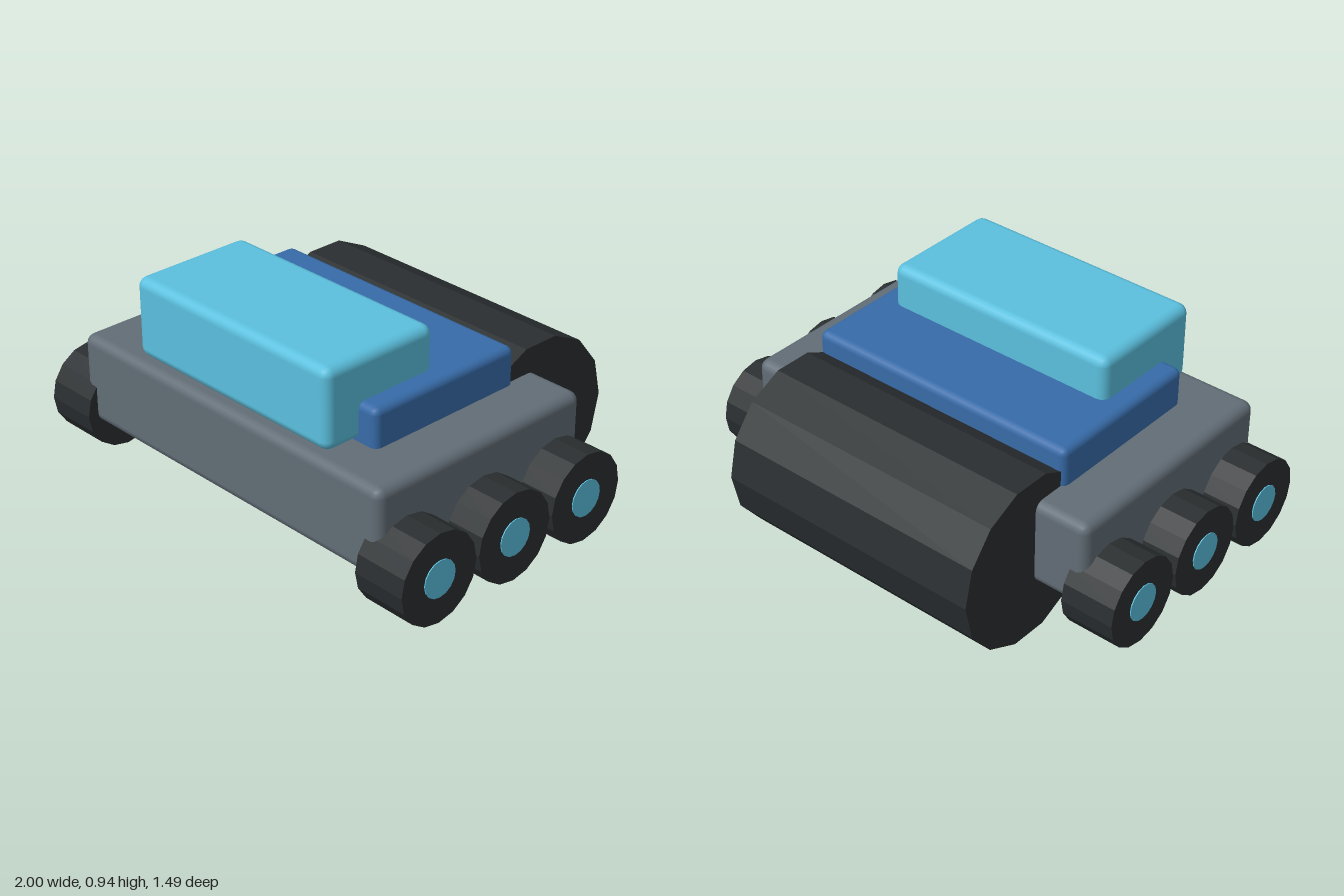
import * as THREE from 'three';
import { RoundedBoxGeometry } from 'three/addons/geometries/RoundedBoxGeometry.js';

const paint = (color, flatShading = false) => new THREE.MeshStandardMaterial({ color, flatShading });

export function createModel() {
  const model = new THREE.Group();
  const hullGrey = paint(0x626d76);
  const deckBlue = paint(0x376ba8);
  const cabCyan = paint(0x5bc0de);
  const hubCyan = paint(0x5bc0de, true);
  const rubber = paint(0x2a2e30, true);

  // Soft-edged box given by its width and its y and z limits
  function block(name, width, [y0, y1], [z0, z1], radius, material) {
    const mesh = new THREE.Mesh(new RoundedBoxGeometry(width, y1 - y0, z1 - z0, 2, radius), material);
    mesh.name = name;
    mesh.position.set(0, (y0 + y1) / 2, (z0 + z1) / 2);
    model.add(mesh);
  }

  // Faceted cylinder lying along x
  function roller(name, radius, width, sides, material) {
    const geometry = new THREE.CylinderGeometry(radius, radius, width, sides).rotateZ(Math.PI / 2);
    const mesh = new THREE.Mesh(geometry, material);
    mesh.name = name;
    return mesh;
  }

  // Body, deck and cab
  block('hull', 1.665, [0.23, 0.603], [-0.355, 0.702], 0.04, hullGrey);
  block('deck', 1.235, [0.54, 0.763], [-0.215, 0.507], 0.03, deckBlue);
  block('cab', 1.06, [0.608, 0.943], [0.127, 0.662], 0.04, cabCyan);

  // Big rear roller
  const drum = roller('rearDrum', 0.364, 1.2, 14, rubber);
  drum.position.set(0, 0.355, -0.381);
  model.add(drum);

  // Three wheels on each side, each with a hub running through it
  for (const side of [-1, 1]) {
    for (const z of [0.562, 0.174, -0.214]) {
      const wheel = new THREE.Group();
      wheel.name = 'wheel';
      wheel.add(roller('tyre', 0.187, 0.232, 16, rubber));
      wheel.add(roller('hub', 0.077, 0.24, 16, hubCyan));
      wheel.position.set(side * 0.88, 0.268, z);
      model.add(wheel);
    }
  }

  return model;
}
